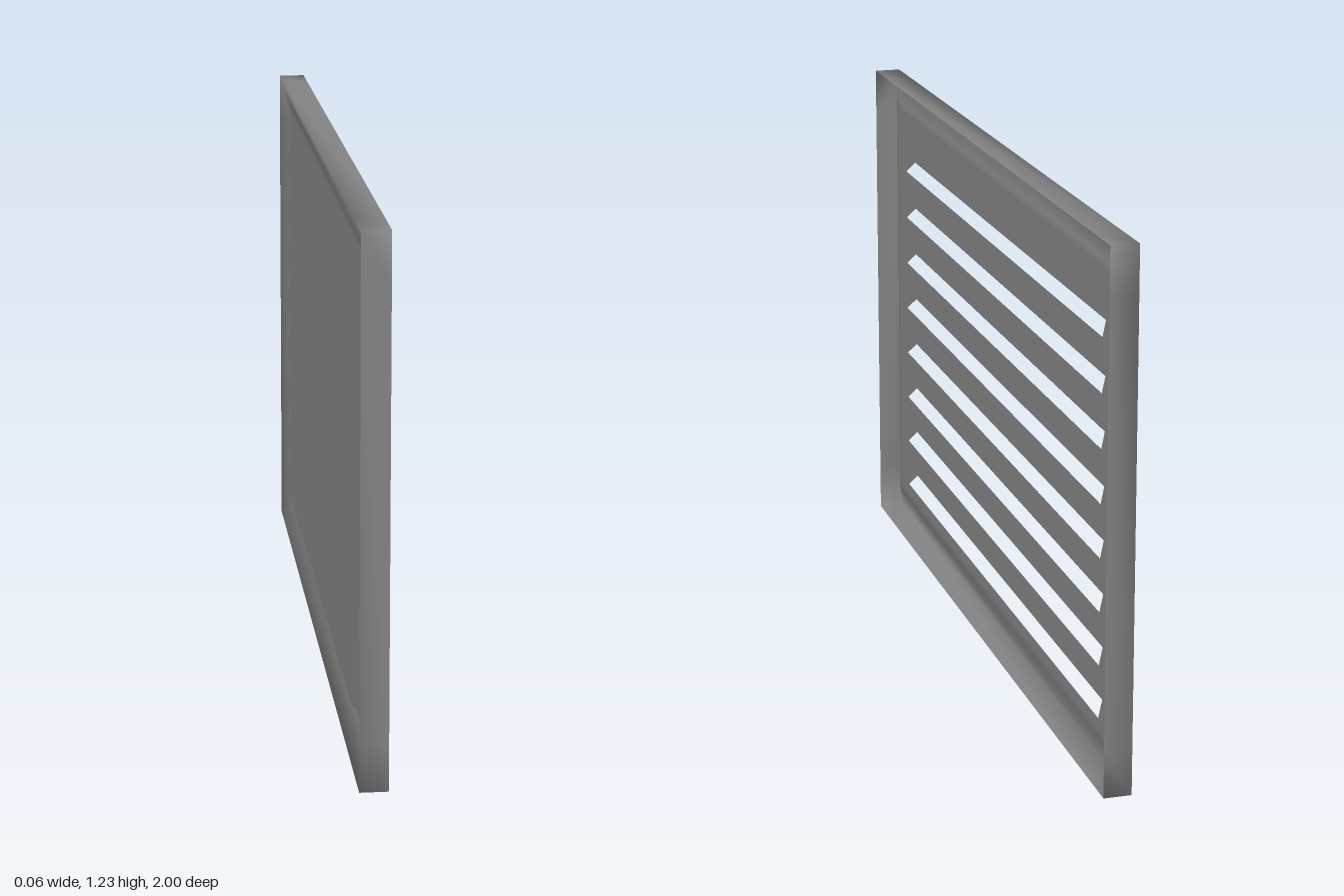
import * as THREE from 'three';

const H = 1.228;         // panel height
const FACE = -0.008;     // x of the recessed plate
const OUT = 0.032;       // half thickness of the panel
const INSET = 0.07;      // width of the sloped border
const CORNER = 0.11;     // length of the corner segment along each edge
const SLOTS = 8, PITCH = 0.1245, FIRST = 0.115;
const GAP = 0.022, RISE = 0.1;      // slot opening and louver height
const HALF_LOW = 0.835, HALF_TOP = 0.885;

// Dark grey paint
const material = new THREE.MeshStandardMaterial({ color: 0x828282, side: THREE.DoubleSide });

function sheet(name, points, index) {
  const g = new THREE.BufferGeometry();
  g.setAttribute('position', new THREE.Float32BufferAttribute(points.flat(), 3));
  g.setIndex(index);
  g.computeVertexNormals();
  const mesh = new THREE.Mesh(g, material);
  mesh.name = name;
  return mesh;
}

// Rectangular loop at depth x, inset by d, with extra points near the corners
function rimLoop(x, d) {
  const c = CORNER, w = 1 - d, top = H - d;
  return [
    [x, d, -w], [x, d, c - 1], [x, d, 1 - c],
    [x, d, w], [x, c, w], [x, H - c, w],
    [x, top, w], [x, top, 1 - c], [x, top, c - 1],
    [x, top, -w], [x, H - c, -w], [x, c, -w]];
}

// Side walls and sloped border, smooth across nested loops
function makeRim() {
  const loops = [rimLoop(OUT, 0), rimLoop(-OUT, 0), rimLoop(FACE, INSET), rimLoop(FACE, INSET + 0.02)];
  const n = loops[0].length, index = [];
  for (let i = 0; i < loops.length - 1; i++) {
    for (let j = 0; j < n; j++) {
      const a = i * n + j, b = i * n + (j + 1) % n;
      index.push(a, b, b + n, a, b + n, a + n);
    }
  }
  return sheet('rim', loops.flat(), index);
}

// Flat plate with one tapered hole behind every louver
function makePlate() {
  const d = INSET + 0.02;
  const rect = (zLow, y0, zTop, y1) => [
    new THREE.Vector2(-zLow, y0), new THREE.Vector2(zLow, y0),
    new THREE.Vector2(zTop, y1), new THREE.Vector2(-zTop, y1)];
  const shape = new THREE.Shape(rect(1 - d, d, 1 - d, H - d));
  for (let i = 0; i < SLOTS; i++) {
    const y = FIRST + i * PITCH;
    shape.holes.push(new THREE.Path(rect(HALF_LOW, y, HALF_TOP, y + RISE)));
  }
  const g = new THREE.ShapeGeometry(shape);
  g.rotateY(-Math.PI / 2);
  g.translate(FACE, 0, 0);
  const mesh = new THREE.Mesh(g, material);
  mesh.name = 'plate';
  return mesh;
}

// Hood leaning outward over its slot, with a triangle closing each end
function makeLouver(y) {
  const points = [-1, 1].flatMap(s => [
    [-OUT, y + GAP, s * HALF_LOW],
    [FACE, y, s * HALF_LOW],
    [FACE, y + RISE, s * HALF_TOP]]);
  const louver = sheet('louver', points, [0, 3, 5, 0, 5, 2, 0, 2, 1, 3, 4, 5]);
  // Normals follow the plate so that the pressed louvers blend into it
  const normal = louver.geometry.attributes.normal;
  for (let i = 0; i < normal.count; i++) normal.setXYZ(i, -1, 0, 0);
  return louver;
}

export function createModel() {
  const group = new THREE.Group();
  group.name = 'louveredPanel';
  group.add(makeRim(), makePlate());
  for (let i = 0; i < SLOTS; i++) group.add(makeLouver(FIRST + i * PITCH));
  return group;
}
